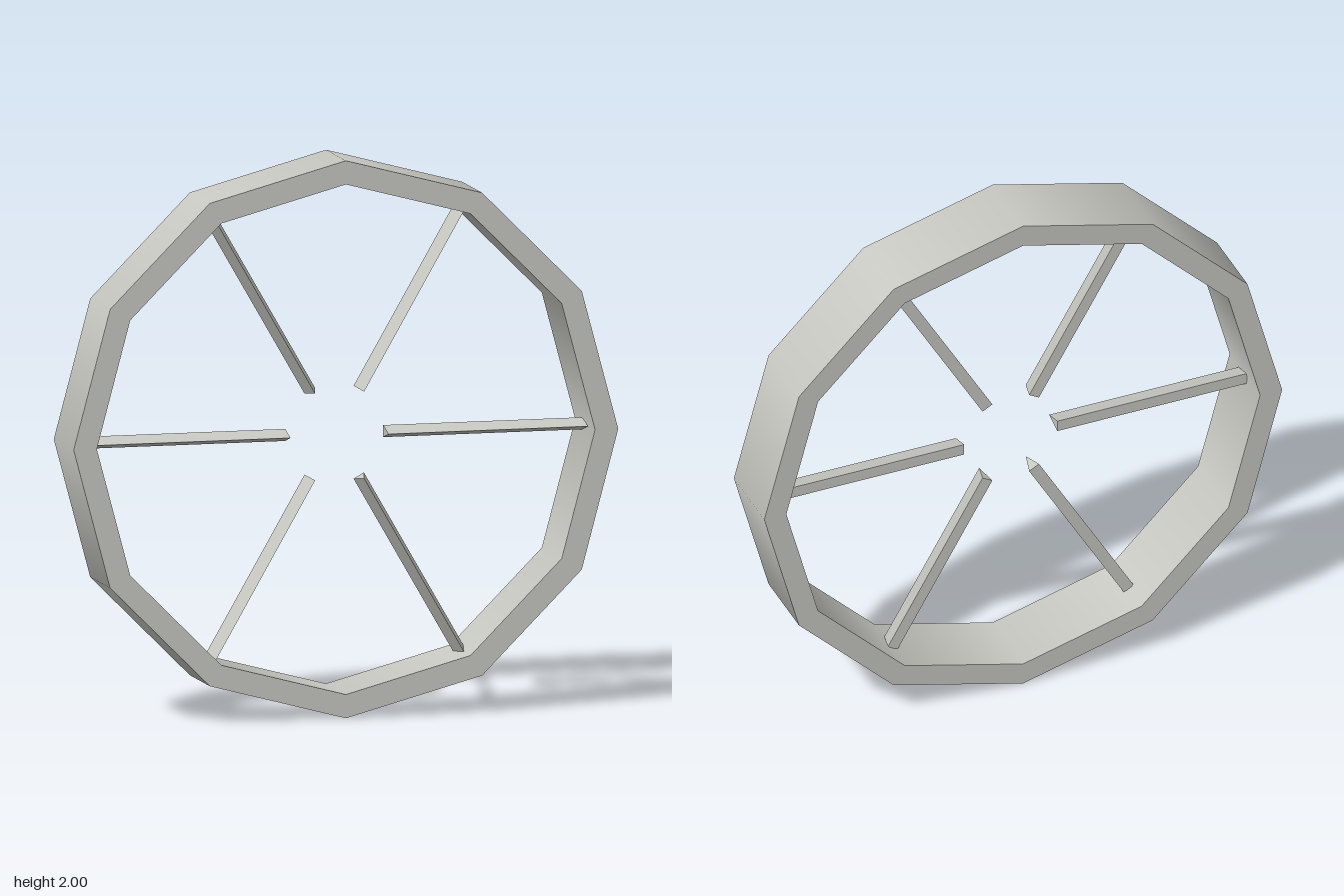
import * as THREE from 'three';
import { mergeGeometries } from 'three/addons/utils/BufferGeometryUtils.js';

const SIDES = 12, OUTER = 1, INNER = 0.915, HALF = 0.137;
const SPOKES = 6, SPOKE_IN = 0.18, SPOKE_OUT = 0.912;

// Square-section hoop: each wall is its own lathe so the rims stay sharp
function hoopGeometry() {
  const corners = [[OUTER, -HALF], [OUTER, HALF], [INNER, HALF], [INNER, -HALF]]
    .map(([r, y]) => new THREE.Vector2(r, y));
  const walls = corners.map((p, i) => new THREE.LatheGeometry([p, corners[(i + 1) % 4]], SIDES));
  return mergeGeometries(walls).rotateX(Math.PI / 2);
}

// Narrow triangular bar with its ridge facing the front
function spokeGeometry() {
  const length = SPOKE_OUT - SPOKE_IN;
  const geo = new THREE.CylinderGeometry(0.05, 0.05, length, 3).toNonIndexed();
  geo.scale(0.5, 1, 1).translate(0, SPOKE_IN + length / 2, 0);
  geo.computeVertexNormals();
  return geo;
}

export function createModel() {
  const model = new THREE.Group();
  model.name = 'wheel';
  const grey = new THREE.MeshStandardMaterial({ color: 0xc8c8c2 });
  grey.name = 'pale grey';

  const rim = new THREE.Mesh(hoopGeometry(), grey);
  rim.name = 'rim';
  rim.position.y = OUTER;
  model.add(rim);

  // Spokes radiate around an open centre
  const spokes = new THREE.Group();
  spokes.name = 'spokes';
  spokes.position.y = OUTER;
  const geo = spokeGeometry();
  for (let i = 0; i < SPOKES; i++) {
    const spoke = new THREE.Mesh(geo, grey);
    spoke.name = `spoke${i + 1}`;
    spoke.rotation.z = Math.PI / 2 + (i * 2 * Math.PI) / SPOKES;
    spokes.add(spoke);
  }
  model.add(spokes);
  return model;
}
